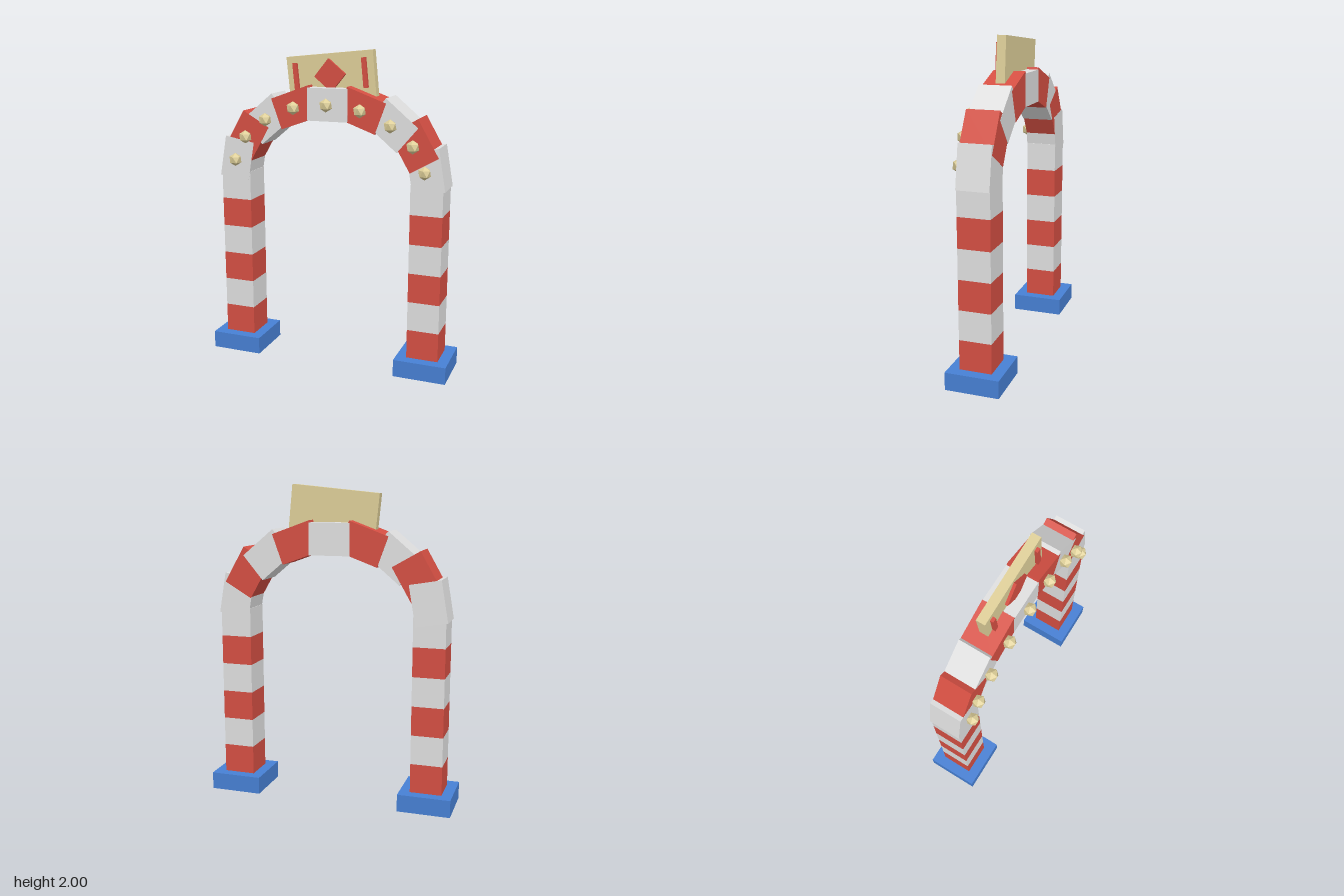
import * as THREE from 'three';

const mat = (name, color) => {
  const m = new THREE.MeshStandardMaterial({ color });
  m.name = name;
  return m;
};

export function createModel() {
  const red = mat('red', 0xd54f43);
  const white = mat('white', 0xe0e0e0);
  const blue = mat('blue', 0x4780d4);
  const gold = mat('gold', 0xdecf99);
  const arch = new THREE.Group();
  arch.name = 'stripedArch';

  const add = (parent, name, geometry, material, x, y, z, tilt = 0) => {
    const mesh = new THREE.Mesh(geometry, material);
    mesh.name = name;
    mesh.position.set(x, y, z);
    mesh.rotation.z = tilt;
    parent.add(mesh);
    return mesh;
  };
  const box = (w, h, d) => new THREE.BoxGeometry(w, h, d);
  const deg = THREE.MathUtils.degToRad;

  // Feet and striped posts
  const stripe = 0.185;
  for (const side of [-1, 1]) {
    const post = new THREE.Group();
    post.name = side > 0 ? 'leftPost' : 'rightPost';
    add(post, 'foot', box(0.333, 0.11, 0.333), blue, side * 0.63, 0.055, 0);
    for (let i = 0; i < 6; i++) {
      add(post, 'postStripe', box(0.2, stripe, 0.2), i % 2 ? white : red,
        side * 0.63, 0.11 + stripe * (i + 0.5), 0);
    }
    arch.add(post);
  }

  // Curved top: overlapping blocks, each with a faceted lamp on its front
  const centres = [[0, 1.67], [0.215, 1.645], [0.405, 1.565], [0.545, 1.45], [0.62, 1.3]];
  const layersLeft = [4, 3, 2, 1, 0];
  const layersRight = [4, 3, 0, 1, 2];
  const lamp = new THREE.IcosahedronGeometry(0.042, 0);
  lamp.rotateX(-Math.atan((1 + Math.sqrt(5)) / 2)); // one corner straight up
  for (let i = -4; i <= 4; i++) {
    const n = Math.abs(i);
    const [x, y] = centres[n];
    const px = Math.sign(i) * x;
    // Slightly different depths keep overlapping faces apart
    const layer = (i < 0 ? layersRight : layersLeft)[n];
    add(arch, 'archBlock', box(0.26, 0.2, 0.2 + layer * 0.001), n % 2 ? red : white,
      px, y, 0, deg(-20 * i));
    add(arch, 'lamp', lamp, gold, px, y, 0.125);
  }

  // Tilted sign board with a diamond and two bars
  const sign = new THREE.Group();
  sign.name = 'sign';
  sign.position.set(-0.003, 1.823, 0);
  sign.rotation.z = deg(5.7);
  add(sign, 'board', box(0.56, 0.3, 0.056), gold, 0, 0, 0);
  add(sign, 'diamond', box(0.143, 0.143, 0.02), red, 0, 0.02, 0.036, Math.PI / 4);
  for (const side of [-1, 1]) {
    add(sign, 'bar', box(0.028, 0.18, 0.022), red, side * 0.223, 0.02, 0.037);
  }
  arch.add(sign);

  return arch;
}
